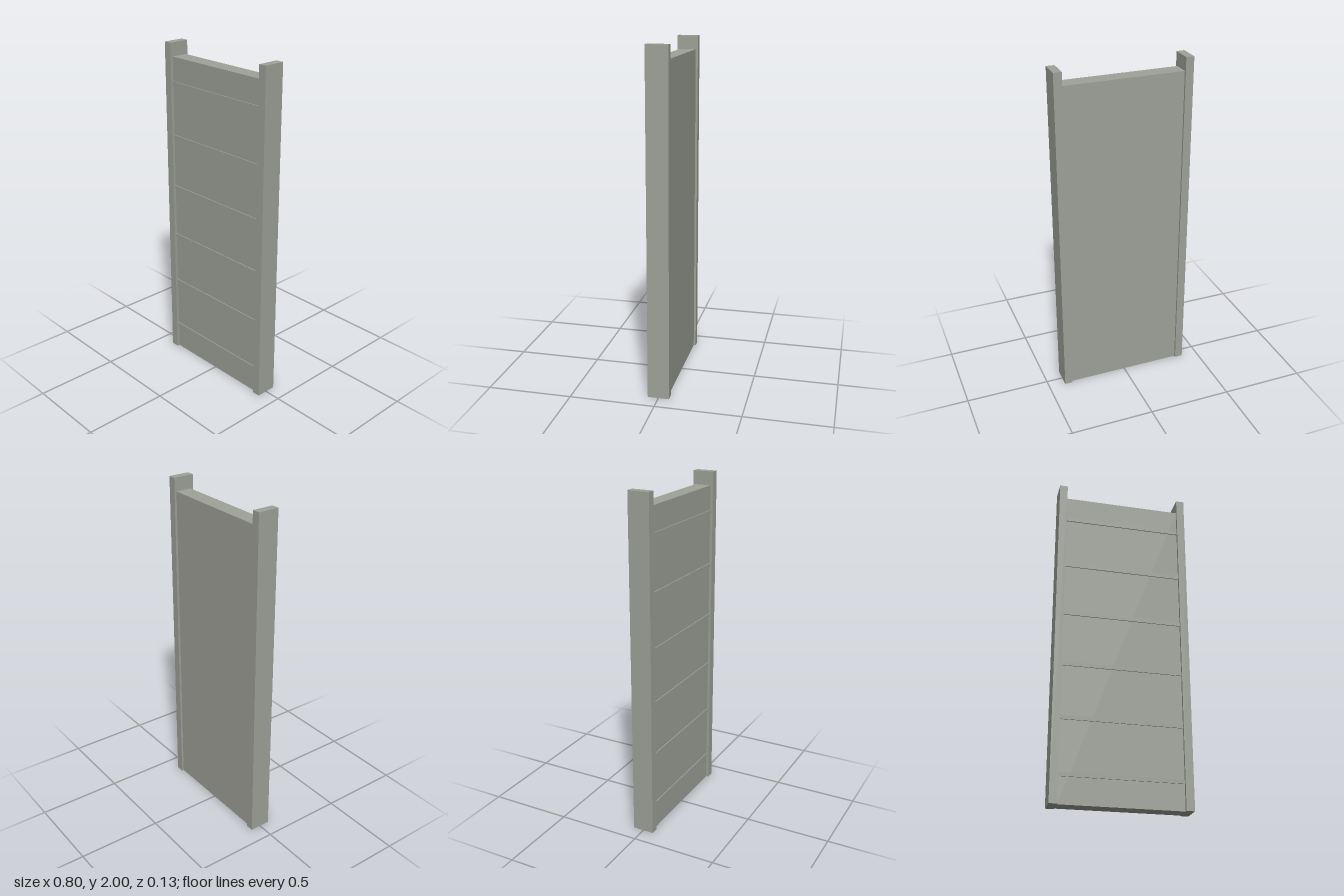
import * as THREE from 'three';

export function createModel() {
  const group = new THREE.Group();
  const paint = new THREE.MeshStandardMaterial({ color: 0x9ea298 });
  paint.name = 'greyGreenPaint';

  // Box given by its lower and upper corners
  function box(name, [x0, y0, z0], [x1, y1, z1]) {
    const mesh = new THREE.Mesh(new THREE.BoxGeometry(x1 - x0, y1 - y0, z1 - z0), paint);
    mesh.position.set((x0 + x1) / 2, (y0 + y1) / 2, (z0 + z1) / 2);
    mesh.name = name;
    group.add(mesh);
  }

  // Upright posts on both sides
  box('leftPost', [0.352, 0, -0.063], [0.4, 2, 0.063]);
  box('rightPost', [-0.4, 0, -0.063], [-0.352, 2, 0.063]);

  // Infill panel between the posts
  box('panel', [-0.352, 0, -0.05], [0.352, 1.92, 0.047]);

  // Evenly spaced raised battens on the front
  for (let i = 0; i < 6; i++) {
    const y = 0.163 + i * 0.3205;
    box('batten' + (i + 1), [-0.352, y - 0.0115, 0.04], [0.352, y + 0.0115, 0.053]);
  }
  return group;
}
